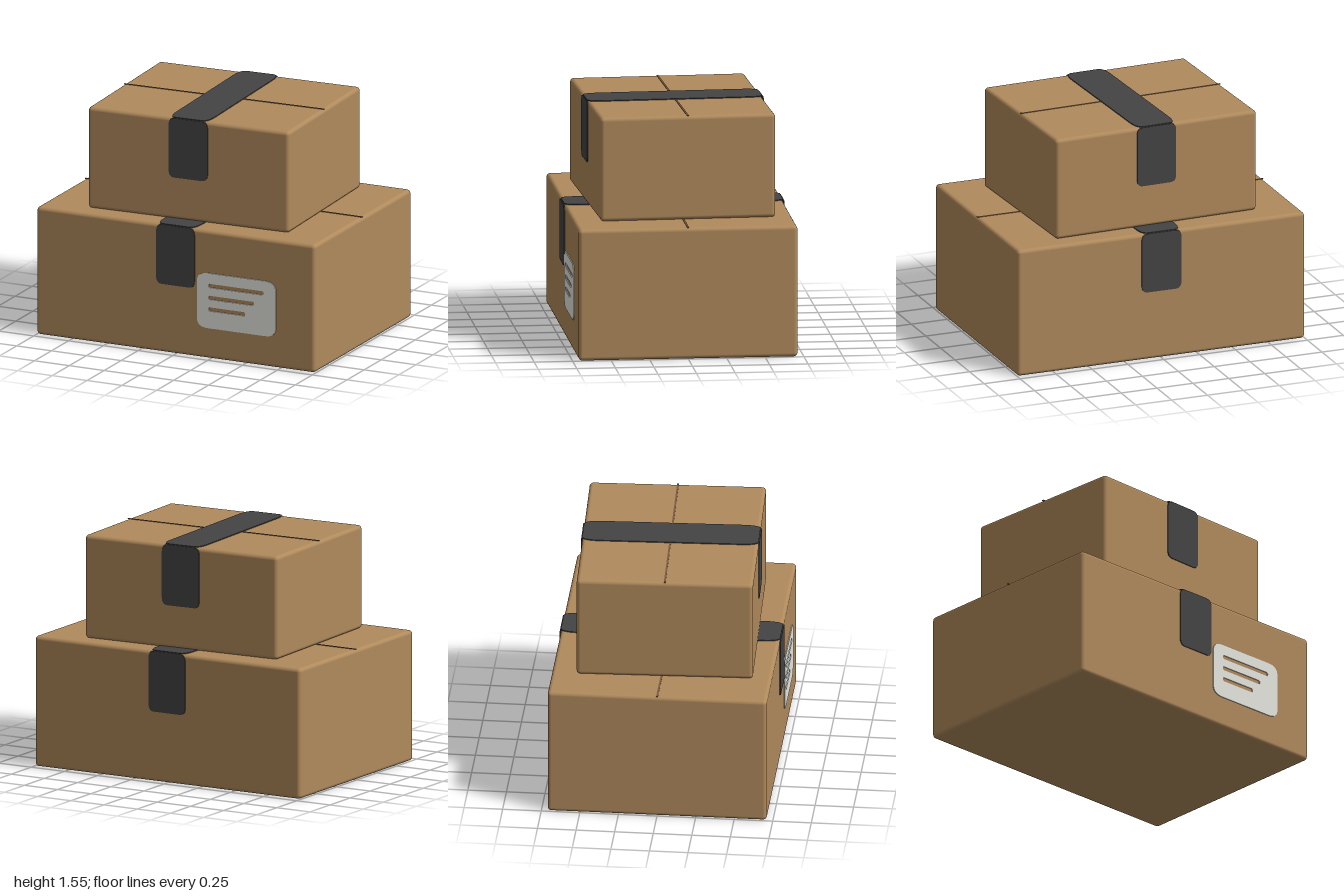
import * as THREE from 'three';
import { RoundedBoxGeometry } from 'three/addons/geometries/RoundedBoxGeometry.js';

const THICK = 0.006;

// Outline of a rectangle with elliptical corners, traced onto a Shape or Path
function roundedRect(path, x, y, w, h, rx, ry = rx) {
  path.moveTo(x + rx, y);
  path.lineTo(x + w - rx, y);
  path.quadraticCurveTo(x + w, y, x + w, y + ry);
  path.lineTo(x + w, y + h - ry);
  path.quadraticCurveTo(x + w, y + h, x + w - rx, y + h);
  path.lineTo(x + rx, y + h);
  path.quadraticCurveTo(x, y + h, x, y + h - ry);
  path.lineTo(x, y + ry);
  path.quadraticCurveTo(x, y, x + rx, y);
  return path;
}

function plate(name, shape, material) {
  const geometry = new THREE.ExtrudeGeometry(shape, { depth: THICK, bevelEnabled: false, curveSegments: 8 });
  const mesh = new THREE.Mesh(geometry, material);
  mesh.name = name;
  return mesh;
}

// Closed carton with a lid seam and one strip of tape folded over front and back
function createCarton(name, w, h, d, mats) {
  const carton = new THREE.Group();
  carton.name = name;

  const body = new THREE.Mesh(new RoundedBoxGeometry(w, h, d, 4, 0.025), mats.cardboard);
  body.name = 'cartonBody';
  body.position.y = h / 2;
  carton.add(body);

  const seam = new THREE.Mesh(new THREE.BoxGeometry(w - 0.01, 0.004, 0.012), mats.seam);
  seam.name = 'lidSeam';
  seam.position.y = h + 0.001;
  carton.add(seam);

  // Tape across the lid, its corners drawn out along the strip
  const tapeW = 0.275;
  const top = plate('tapeTop',
    roundedRect(new THREE.Shape(), -tapeW / 2, -d / 2, tapeW, d, 0.045, 0.12), mats.tape);
  top.rotation.x = -Math.PI / 2;
  top.position.y = h;
  carton.add(top);

  // Tape ends hanging down the front and back
  for (const side of [1, -1]) {
    const end = plate(side > 0 ? 'tapeFront' : 'tapeBack',
      roundedRect(new THREE.Shape(), -tapeW / 2, -0.4, tapeW, 0.4, 0.04, 0.05), mats.tape);
    end.position.set(0, h, side * d / 2);
    if (side < 0) end.rotation.y = Math.PI;
    carton.add(end);
  }
  return carton;
}

export function createModel() {
  const make = (name, color) => {
    const m = new THREE.MeshStandardMaterial({ color });
    m.name = name;
    return m;
  };
  const mats = {
    cardboard: make('cardboard', 0xb08a5c),
    seam: make('seam brown', 0x7a5c3c),
    tape: make('dark tape', 0x444444),
    label: make('label white', 0xe8e8e2),
  };

  const model = new THREE.Group();
  model.name = 'stackedCartons';

  const large = createCarton('largeCarton', 2, 0.86, 1.42, mats);
  model.add(large);

  // Shipping label with slots cut for its printed lines
  const shape = roundedRect(new THREE.Shape(), 0.155, 0.205, 0.565, 0.37, 0.08, 0.06);
  [[0.492, 0.395], [0.412, 0.325], [0.334, 0.26]].forEach(([y, length]) => {
    shape.holes.push(roundedRect(new THREE.Path(), 0.24, y - 0.013, length, 0.026, 0.012));
  });
  const label = plate('shippingLabel', shape, mats.label);
  label.position.z = 0.71;
  large.add(label);

  // Smaller carton, set slightly askew on top
  const small = createCarton('smallCarton', 1.42, 0.68, 1.14, mats);
  small.position.set(0, 0.86, -0.004);
  small.rotation.y = 0.036;
  model.add(small);

  return model;
}
